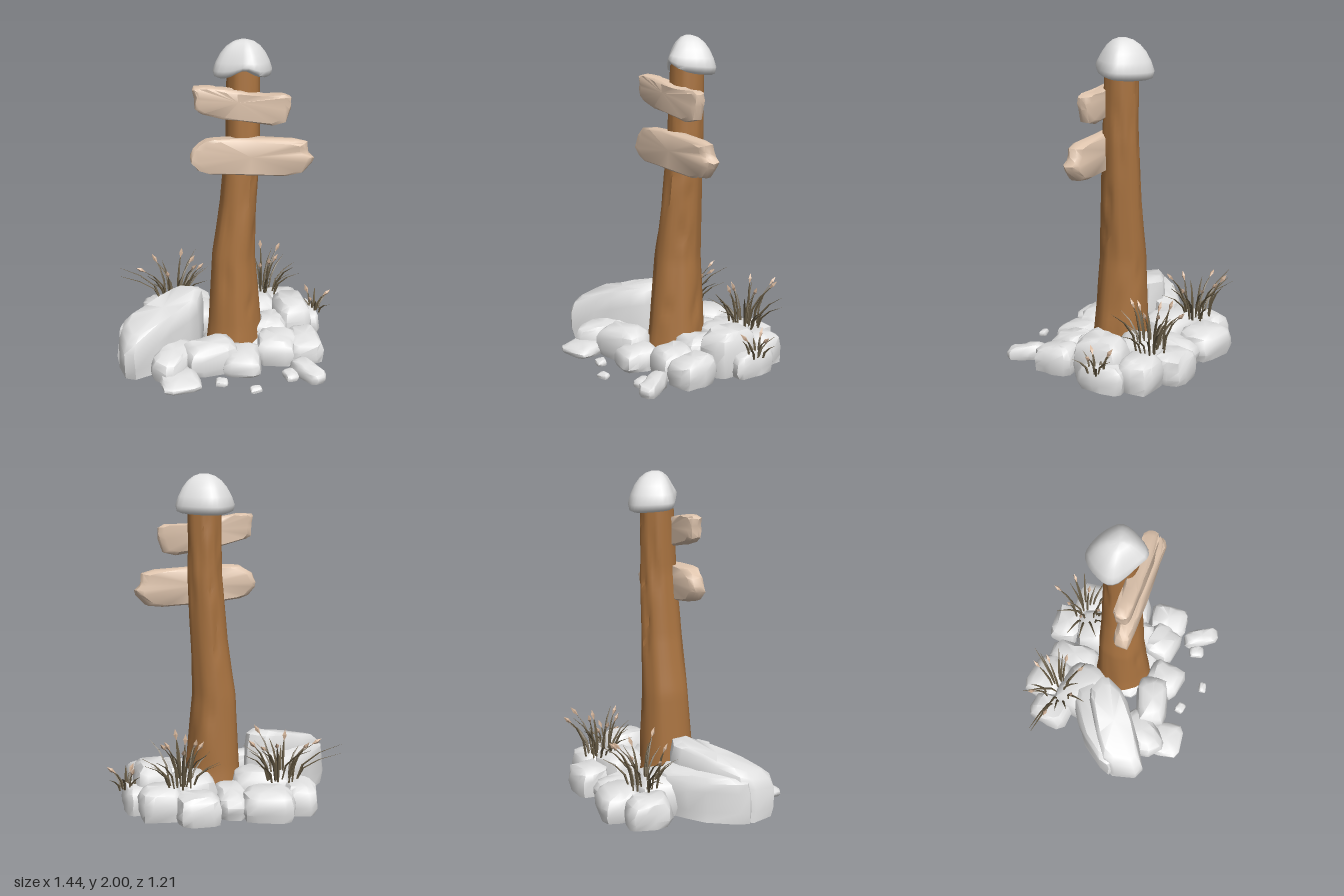
import * as THREE from 'three';
import { toCreasedNormals, mergeGeometries } from 'three/addons/utils/BufferGeometryUtils.js';

const mat = (name, color) => {
  const m = new THREE.MeshStandardMaterial({ color });
  m.name = name;
  return m;
};

function seeded(seed) {
  return () => {
    seed = (seed * 16807) % 2147483647;
    return seed / 2147483647;
  };
}

// Closed skin over a stack of rings (each an array of Vector3, ordered from +x towards +z)
function loft(rings, crease = 0.6) {
  const n = rings[0].length;
  const pos = rings.flat().flatMap((p) => [p.x, p.y, p.z]);
  const index = [];
  for (let i = 0; i < rings.length - 1; i++) {
    for (let j = 0; j < n; j++) {
      const a = i * n + j, b = i * n + (j + 1) % n;
      index.push(a, a + n, b, b, a + n, b + n);
    }
  }
  [0, rings.length - 1].forEach((i, top) => {
    const c = rings[i].reduce((s, p) => s.add(p), new THREE.Vector3()).divideScalar(n);
    const k = pos.push(c.x, c.y, c.z) / 3 - 1;
    for (let j = 0; j < n; j++) {
      const a = i * n + j, b = i * n + (j + 1) % n;
      index.push(k, ...(top ? [b, a] : [a, b]));
    }
  });
  const g = new THREE.BufferGeometry();
  g.setAttribute('position', new THREE.Float32BufferAttribute(pos, 3));
  g.setIndex(index);
  return toCreasedNormals(g, crease);
}

// Cut every corner of an outline, in the winding the loft expects
function chamfer(outline, t) {
  const pts = outline.map(([x, y]) => new THREE.Vector2(x, y));
  if (THREE.ShapeUtils.area(pts) < 0) pts.reverse();
  return pts.flatMap((p, i) => {
    const prev = pts[(i + pts.length - 1) % pts.length], next = pts[(i + 1) % pts.length];
    return [p.clone().lerp(prev, t), p.clone().lerp(next, t)];
  }).map((p) => [p.x, p.y]);
}

// Rounded block over an outline; the top may slope in x and z
const ROCK = [[0, 0.9], [0.28, 1], [0.6, 0.98], [0.86, 0.87], [1, 0.62]];
const BOULDER = [[0, 0.96], [0.25, 1], [0.7, 0.99], [0.92, 0.92], [1, 0.76]];
const PLANK = [[0, 0.88], [0.22, 0.98], [0.6, 1], [0.88, 0.97], [1, 0.87]];
function block(outline, h, profile, slope, seed) {
  const rnd = seeded(seed);
  const pts = chamfer(outline, 0.2);
  const cx = pts.reduce((s, p) => s + p[0], 0) / pts.length;
  const cz = pts.reduce((s, p) => s + p[1], 0) / pts.length;
  const j = () => (rnd() - 0.5) * Math.min(0.016, h * 0.13);
  return loft(profile.map(([f, s]) => pts.map(([x, z]) => {
    const dx = (x - cx) * s, dz = (z - cz) * s;
    const y = f * (h + slope[0] * dx + slope[1] * dz) + (f > 0 ? j() : 0);
    return new THREE.Vector3(cx + dx + j(), y, cz + dz + j());
  })), 0.85);
}

// Irregular six-cornered rock outline, turned by yaw
function rockOutline(x, z, w, d, yaw, seed) {
  const rnd = seeded(seed), c = Math.cos(yaw), s = Math.sin(yaw);
  return [[1, -1], [1.12, 0.1], [0.95, 1], [-1, 1], [-1.1, -0.1], [-0.95, -1]].map(([u, v]) => {
    const px = u * w * (0.45 + rnd() * 0.08), pz = v * d * (0.45 + rnd() * 0.1);
    return [x + px * c - pz * s, z + px * s + pz * c];
  });
}

// Post: height, x min, x max, z min, z max
const POST = [
  [0.05, -0.135, 0.222, -0.195, 0.185], [0.2, -0.12, 0.21, -0.18, 0.165], [0.65, -0.095, 0.175, -0.165, 0.125],
  [0.8, -0.07, 0.18, -0.16, 0.115], [1, -0.04, 0.187, -0.155, 0.1], [1.4, -0.002, 0.203, -0.15, 0.075],
  [1.88, 0.005, 0.202, -0.145, 0.05],
];
function postGeometry() {
  const rnd = seeded(41);
  const gouges = Array.from({ length: 30 }, () => [rnd() * Math.PI * 2, 0.1 + rnd() * 1.65, 0.05 + rnd() * 0.07]);
  const rings = [];
  for (let i = 0; i <= 50; i++) {
    const y = 0.05 + (1.83 * i) / 50;
    const k = Math.max(1, POST.findIndex((r) => r[0] >= y - 1e-6));
    const t = (y - POST[k - 1][0]) / (POST[k][0] - POST[k - 1][0]);
    const [x0, x1, z0, z1] = [1, 2, 3, 4].map((c) => THREE.MathUtils.lerp(POST[k - 1][c], POST[k][c], t));
    rings.push(Array.from({ length: 32 }, (_, j) => {
      const a = (j / 32) * Math.PI * 2;
      let r = 1 + 0.025 * Math.sin(5 * a + 2 * y) + 0.015 * Math.sin(9 * a - 3 * y);
      for (const [ga, gy, len] of gouges) {
        const d = Math.atan2(Math.sin(a - ga), Math.cos(a - ga));
        r -= 0.09 * Math.exp(-((d / 0.13) ** 2) - ((y - gy) / len) ** 2);
      }
      return new THREE.Vector3((x0 + x1) / 2 + Math.cos(a) * r * (x1 - x0) / 2, y,
        (z0 + z1) / 2 + Math.sin(a) * r * (z1 - z0) / 2);
    }));
  }
  return loft(rings, 0.8);
}

// Snow cap: rounded square with a lifted front hem
function capGeometry() {
  const corners = [[0.06, -0.25], [0.21, -0.19], [0.31, -0.08], [0.16, 0.13], [0.03, 0.05], [-0.1, -0.04], [-0.03, -0.18]];
  const pts = chamfer(chamfer(corners, 0.25), 0.25);
  const profile = [[1.775, 0.82], [1.785, 0.95], [1.82, 1], [1.87, 0.9], [1.92, 0.75], [1.96, 0.57], [1.987, 0.36], [2, 0.14]];
  return loft(profile.map(([y, s]) => pts.map(([x, z]) => {
    const px = 0.105 + (x - 0.105) * s, pz = -0.05 + (z + 0.05) * s;
    const hem = Math.max(0, (1.9 - y) / 0.125);
    const notch = pz > 0 ? 0.055 * Math.exp(-(((px - 0.1) / 0.07) ** 2)) : 0;
    return new THREE.Vector3(px, y + hem * (notch + 0.1 * (pz + 0.06)), pz);
  })), 1.2);
}

// Grass: bent leaf blades, with upright stalks carrying seed heads between them
function tuft(name, [cx, cy, cz], count, [size, wide], seed, bladeMat, seedMat) {
  const rnd = seeded(seed), blades = [], heads = [];
  for (let i = 0; i < count; i++) {
    const stalk = i % 3 === 0;
    const a = (i / count) * Math.PI * 2 + rnd() * 0.5;
    const root = (0.02 + rnd() * 0.08) * size;
    const reach = (stalk ? 0.04 + rnd() * 0.1 : 0.08 + rnd() * 0.13) * size;
    const rise = (stalk ? 0.22 + rnd() * 0.07 : 0.12 + rnd() * 0.13) * size;
    const at = (t) => {
      const out = root + reach * t * t;
      return new THREE.Vector3(cx + Math.cos(a) * out * wide, cy + rise * t * (1.25 - 0.25 * t), cz + Math.sin(a) * out);
    };
    blades.push(loft([[0, 0.006], [0.35, 0.008], [0.7, 0.006], [1, 0.001]].map(([t, r]) => [0, 1, 2, 3].map((k) => {
      const b = a + (k * Math.PI) / 2;
      return at(t).add(new THREE.Vector3(Math.cos(b) * r, 0, Math.sin(b) * r));
    }))));
    if (stalk) {
      const head = new THREE.OctahedronGeometry(1);
      head.scale(0.013, 0.036, 0.013);
      const dir = at(1).sub(at(0.85)).normalize();
      head.applyQuaternion(new THREE.Quaternion().setFromUnitVectors(new THREE.Vector3(0, 1, 0), dir));
      head.translate(...at(1).toArray());
      heads.push(head);
    }
  }
  const g = new THREE.Group();
  g.name = name;
  [['blades', blades, bladeMat], ['seedHeads', heads, seedMat]].forEach(([part, list, m]) => {
    const mesh = new THREE.Mesh(mergeGeometries(list), m);
    mesh.name = part;
    g.add(mesh);
  });
  return g;
}

// Rocks under and around the post: x, z, width, depth, yaw, height
const ROCKS = [
  [-0.42, -0.38, 0.19, 0.28, 0.1, 0.17], [-0.21, -0.47, 0.29, 0.24, 0.15, 0.17], [-0.22, -0.23, 0.36, 0.28, 0.2, 0.22],
  [0, -0.35, 0.17, 0.32, 0, 0.15], [0.21, -0.48, 0.24, 0.22, -0.05, 0.17], [0.41, -0.36, 0.25, 0.22, 0, 0.19],
  [0.22, -0.26, 0.26, 0.3, -0.2, 0.22], [0.44, -0.11, 0.22, 0.32, -0.05, 0.265], [0.56, -0.19, 0.12, 0.31, -0.05, 0.15],
  [0.28, 0.01, 0.2, 0.26, 0.1, 0.2], [0.47, 0.19, 0.2, 0.27, 0, 0.16], [0.29, 0.2, 0.24, 0.23, 0.3, 0.17],
  [0.05, 0.3, 0.23, 0.27, 0.2, 0.13], [-0.14, 0.27, 0.32, 0.2, -0.25, 0.19], [-0.37, 0.27, 0.19, 0.32, 0.65, 0.16],
  [-0.35, 0.44, 0.24, 0.2, -0.1, 0.065], [0.44, 0.45, 0.11, 0.24, -0.55, 0.085], [0.06, -0.01, 0.42, 0.4, 0.1, 0.1],
  [-0.1, 0.465, 0.075, 0.06, 0.2, 0.035], [0.095, 0.565, 0.07, 0.05, -0.2, 0.03], [0.33, 0.45, 0.075, 0.1, -0.3, 0.045],
];

export function createModel() {
  const wood = mat('post brown', 0xa97340), board = mat('pale board', 0xdfc5ae);
  const stone = mat('snowy grey', 0xe2e2e2), blade = mat('dry grass', 0x665a44), tip = mat('seed tan', 0xcfb096);
  const model = new THREE.Group();
  const add = (name, geo, m) => {
    const mesh = new THREE.Mesh(geo, m);
    mesh.name = name;
    model.add(mesh);
    return mesh;
  };
  add('post', postGeometry(), wood);
  add('snowCap', capGeometry(), stone);

  // Planks: outline in x and y, laid flat and then stood up against the post
  const plank = (name, outline, z, thick, seed) => {
    const geo = block(outline.map(([x, y]) => [x, -y]), thick, PLANK, [0, 0], seed);
    geo.rotateX(Math.PI / 2);
    add(name, geo, board).position.z = z;
  };
  plank('upperPlank', [[-0.22, 1.755], [-0.14, 1.76], [0, 1.735], [0.2, 1.695], [0.37, 1.69], [0.375, 1.63],
    [0.335, 1.5], [0, 1.555], [-0.21, 1.61], [-0.2, 1.69]], 0.012, 0.09, 31);
  plank('lowerPlank', [[-0.25, 1.32], [-0.2, 1.4], [-0.13, 1.445], [0.08, 1.44], [0.47, 1.41], [0.475, 1.34],
    [0.525, 1.29], [0.43, 1.185], [0.05, 1.21], [-0.18, 1.235]], 0.015, 0.1, 32);

  // Two big slanted boulders on the right side
  add('frontBoulder', block([[-0.72, 0.13], [-0.5, -0.02], [-0.28, -0.15], [-0.13, -0.08], [-0.21, 0.1],
    [-0.42, 0.25], [-0.67, 0.38]], 0.355, BOULDER, [0.15, -0.24], 101), stone);
  add('backBoulder', block([[-0.73, 0.13], [-0.53, -0.12], [-0.28, -0.26], [-0.16, -0.12], [-0.4, 0.08],
    [-0.62, 0.22]], 0.28, BOULDER, [0.13, 0.15], 1078), stone);

  // Rock tops fall towards the front and back rim
  ROCKS.forEach(([x, z, w, d, yaw, h], i) => {
    const seed = 2055 + i * 977;
    const slope = [0, z > 0.1 ? -0.15 : z < -0.3 ? 0.08 : 0];
    add('rock' + (i + 1), block(rockOutline(x, z, w, d, yaw, seed), h, ROCK, slope, seed), stone);
  });

  model.add(tuft('rightBackGrass', [-0.3, 0.19, -0.35], 21, [1.0, 1.3], 11, blade, tip));
  model.add(tuft('leftBackGrass', [0.29, 0.19, -0.37], 21, [1.0, 1], 77, blade, tip));
  model.add(tuft('sideGrass', [0.61, 0.12, -0.18], 9, [0.5, 1], 123, blade, tip));
  return model;
}
